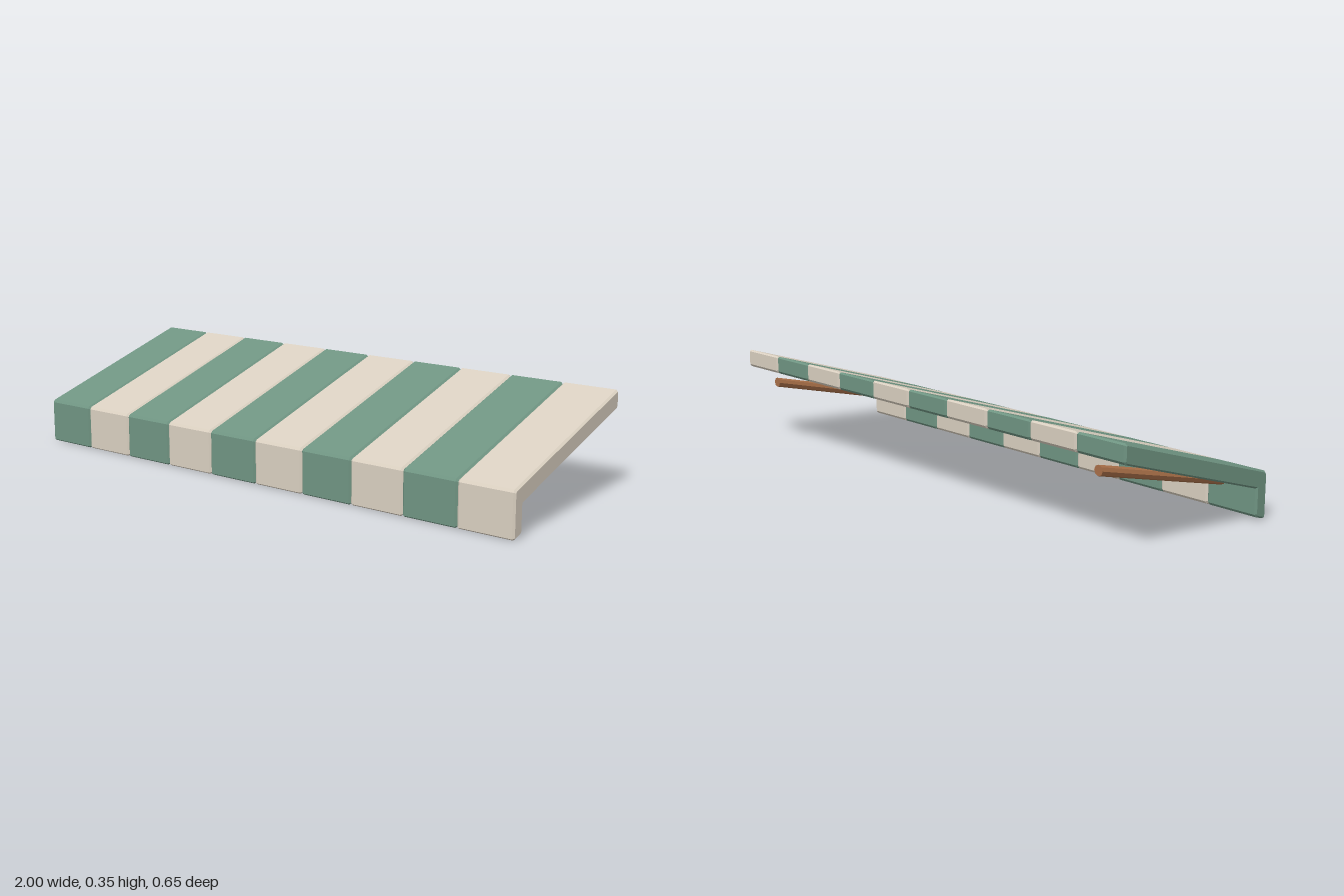
import * as THREE from 'three';

const SLOPE = 0.3;
const FRONT = 0.326;
const BEVEL = 0.007;

const material = (name, color) => {
  const m = new THREE.MeshStandardMaterial({ color });
  m.name = name;
  return m;
};

// L-shaped side profile in (z, height), sheared upwards to the back, outer corners chamfered
function profile() {
  const corners = [
    [FRONT, 0], [FRONT, 0.157], [-FRONT, 0.157],
    [-FRONT, 0.093], [0.278, 0.093], [0.278, 0],
  ].map(([z, h]) => new THREE.Vector2(z, h + SLOPE * (FRONT - z)));
  const points = [];
  corners.forEach((p, i) => {
    if (i === 4) { points.push(p); return; } // inner corner stays sharp
    for (const j of [i + 5, i + 1]) {
      const toward = corners[j % 6].clone().sub(p).setLength(BEVEL);
      points.push(p.clone().add(toward));
    }
  });
  return new THREE.Shape(points);
}

// One bevelled stripe, centred on x
function stripeGeometry(width) {
  const depth = width - 2 * BEVEL;
  const geo = new THREE.ExtrudeGeometry(profile(), {
    depth, bevelEnabled: true, bevelSegments: 1,
    bevelThickness: BEVEL, bevelSize: BEVEL * 0.8, bevelOffset: -BEVEL * 0.8,
  });
  return geo.translate(0, 0, -depth / 2).rotateY(-Math.PI / 2);
}

// Eight-sided rod along z with upright ends, sheared to its own slope
function rodGeometry() {
  const geo = new THREE.CylinderGeometry(0.0175, 0.0175, 0.562, 8).toNonIndexed();
  geo.rotateX(Math.PI / 2).rotateZ(Math.PI / 2);
  const pos = geo.attributes.position;
  for (let i = 0; i < pos.count; i++) {
    pos.setY(i, pos.getY(i) - 0.228 * pos.getZ(i));
  }
  geo.computeVertexNormals();
  return geo;
}

export function createModel() {
  const model = new THREE.Group();
  model.name = 'awning';
  const green = material('green cloth', 0x6f9482);
  const cream = material('cream cloth', 0xd9cfc0);
  const wood = material('brown wood', 0xa86f48);

  // Alternating stripes of roof and hanging valance
  const stripe = stripeGeometry(0.2);
  for (let i = 0; i < 10; i++) {
    const mesh = new THREE.Mesh(stripe, i % 2 ? cream : green);
    mesh.name = i % 2 ? 'creamStripe' : 'greenStripe';
    mesh.position.x = -0.9 + i * 0.2;
    model.add(mesh);
  }

  // Support rods under both ends
  const rod = rodGeometry();
  for (const side of [-1, 1]) {
    const mesh = new THREE.Mesh(rod, wood);
    mesh.name = side > 0 ? 'leftRod' : 'rightRod';
    mesh.position.set(side * 0.86, 0.175, -0.009);
    model.add(mesh);
  }
  return model;
}
